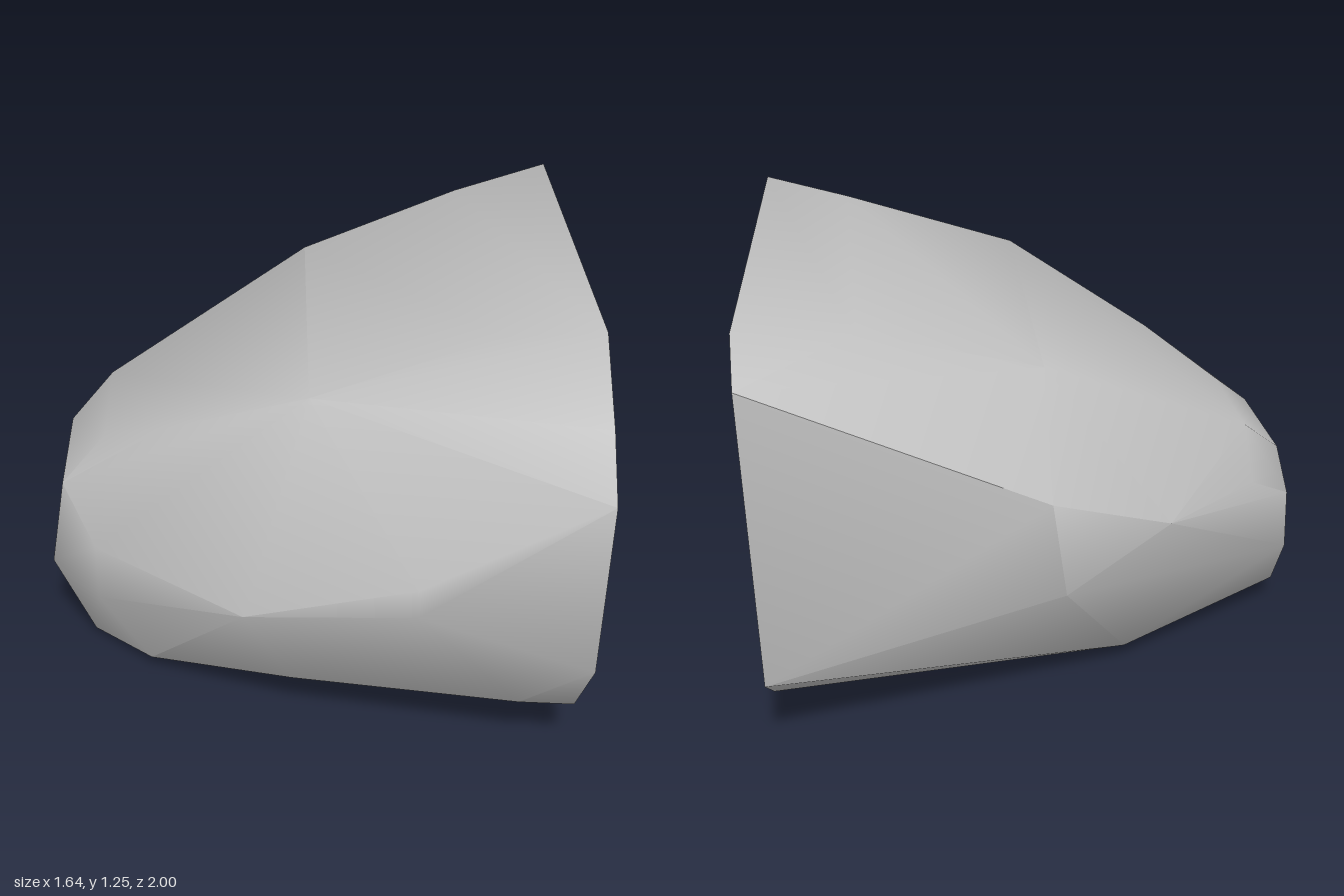
import * as THREE from 'three';
import { ConvexGeometry } from 'three/addons/geometries/ConvexGeometry.js';
import { toCreasedNormals } from 'three/addons/utils/BufferGeometryUtils.js';

// Corner points [x, y, z] of the boulder, grouped from the broad end to the narrow end
const broadEnd = [
  [0.82, 1.25, 0.6], [0.81, 1.09, 0.87], [0.81, 0.93, 1], [0.795, 0.4, 1],
  [0.77, 0.19, 0.87], [0.75, 0.02, 0.29], [0.75, 0.02, -0.38], [0.77, 0.145, -0.85],
  [0.78, 0.26, -1], [0.81, 1.13, -0.975], [0.82, 1.24, -0.84],
];
const shoulder = [
  [0.55, 1.2, 0.52], [0.5, 1.185, -0.72], [0.3, 0.64, 0.96], [0.3, 0.56, 0.97],
  [0.61, 0.19, 0.86],
];
const waist = [
  [0, 1.02, 0.55], [-0.02, 1.02, -0.6], [-0.19, 0.43, 0.78], [-0.05, 0.14, 0.68],
  [-0.06, 0.46, -0.91], [-0.02, 0.74, -0.905], [-0.28, 0.05, -0.53],
  [-0.44, 0.79, 0.3], [-0.37, 0.6, -0.77],
];
const nose = [
  [-0.65, 0.67, 0.12], [-0.67, 0.685, -0.3], [-0.65, 0.46, 0.46], [-0.65, 0.29, 0.47],
  [-0.5, 0.04, 0.44], [-0.7, 0.02, 0.25], [-0.72, 0, -0.15], [-0.67, 0.56, -0.45],
];
const narrowEnd = [
  [-0.78, 0.545, 0.21], [-0.8, 0.56, -0.2], [-0.815, 0.45, -0.31], [-0.825, 0.25, -0.29],
  [-0.81, 0.08, -0.2], [-0.81, 0.08, 0.05], [-0.825, 0.27, 0.23],
];

export function createModel() {
  const stone = new THREE.MeshStandardMaterial({ color: 0xc0c0c0 });
  stone.name = 'grey stone';

  // Wrap the points in a convex skin, smooth on the sides and sharp round the cut ends
  const points = [broadEnd, shoulder, waist, nose, narrowEnd]
    .flat()
    .map((p) => new THREE.Vector3(...p));
  const geometry = toCreasedNormals(new ConvexGeometry(points), 0.7);

  const boulder = new THREE.Mesh(geometry, stone);
  boulder.name = 'boulder';

  const group = new THREE.Group();
  group.name = 'rock';
  group.add(boulder);
  return group;
}
